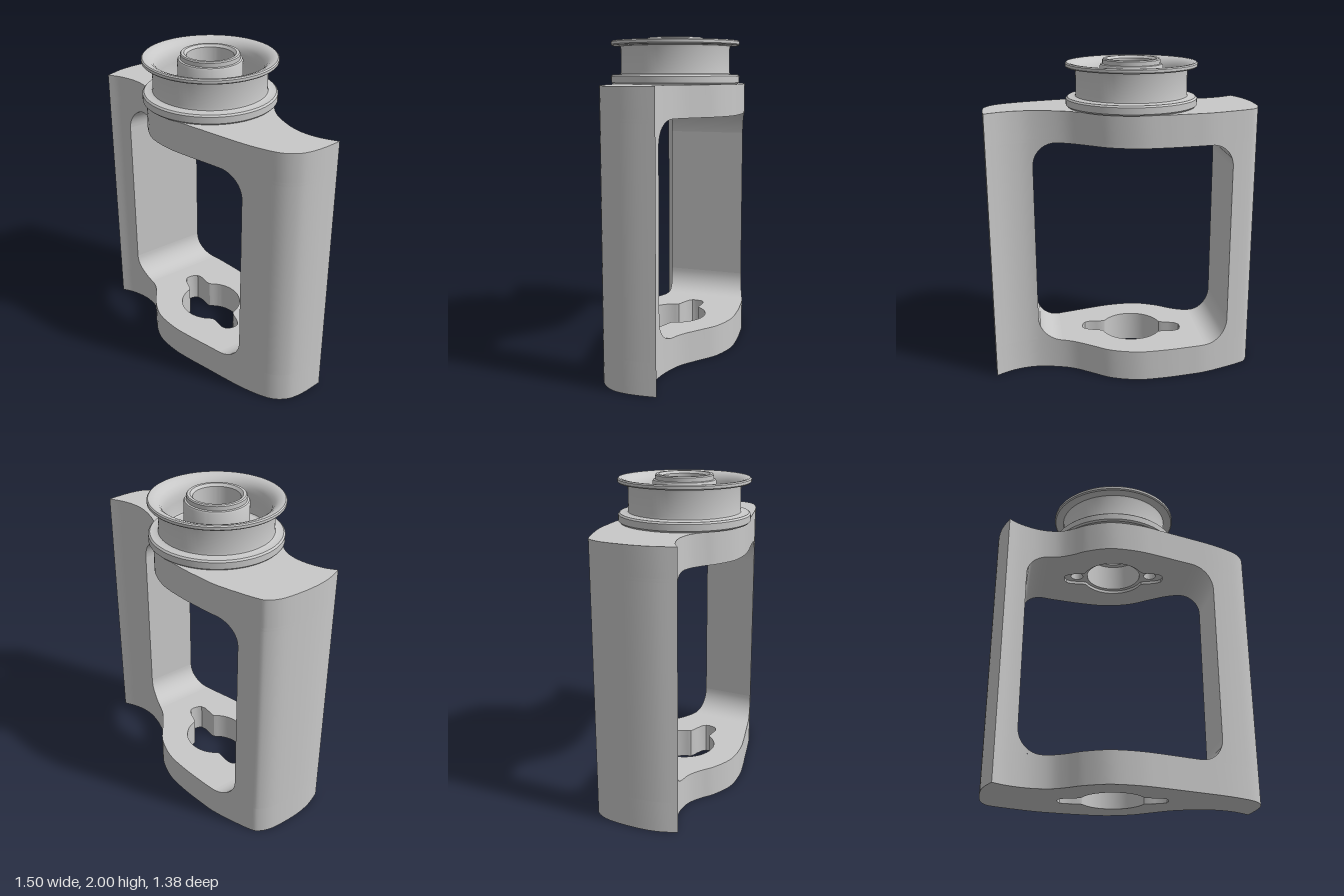
import * as THREE from 'three';
import { toCreasedNormals, mergeGeometries } from 'three/addons/utils/BufferGeometryUtils.js';

const CX = -0.03, CZ = -0.005;          // hub axis
const PIN = 0.245, PIN_ANGLE = 0.975;   // pin hole distance and direction
const LOW = 0.197, HIGH = 1.515, TOP = 1.71; // window bottom, window top, body top
const HALF = 0.607, SHIFT = -0.007, FILLET = 0.15; // window half width, offset and corner radius
const COS = Math.cos(0.803), SIN = Math.sin(0.803); // long axis of the body

// Footprint of the body as (x, z): two smooth sides meeting at two sharp tips
const spline = (p) => new THREE.SplineCurve(p.map(([x, z]) => new THREE.Vector2(x, z))).getPoints(72).slice(0, -1);
const outline = [
  ...spline([[-0.748, -0.308], [-0.695, -0.42], [-0.61, -0.53], [-0.48, -0.65], [-0.39, -0.69], [-0.33, -0.68],
    [-0.2, -0.62], [-0.08, -0.555], [0.02, -0.48], [0.13, -0.39], [0.25, -0.27], [0.33, -0.12], [0.355, 0.02],
    [0.38, 0.16], [0.43, 0.27], [0.5, 0.37], [0.57, 0.43], [0.65, 0.472], [0.748, 0.5]]),
  ...spline([[0.748, 0.5], [0.67, 0.59], [0.6, 0.652], [0.54, 0.682], [0.46, 0.69], [0.37, 0.665], [0.23, 0.6],
    [0, 0.465], [-0.11, 0.4], [-0.23, 0.32], [-0.35, 0.2], [-0.41, 0.06], [-0.427, -0.04], [-0.455, -0.13],
    [-0.51, -0.2], [-0.58, -0.252], [-0.67, -0.293], [-0.748, -0.308]]),
];
const along = (p) => p.x * COS + p.y * SIN;
const across = (p) => p.x * SIN - p.y * COS;

// Keep the part of the footprint beyond the window's side wall
function clip(side) {
  const d = (p) => side * (along(p) - SHIFT) - HALF;
  const out = [];
  outline.forEach((a, i) => {
    const b = outline[(i + 1) % outline.length];
    if (d(a) >= 0) out.push(a);
    if (d(a) * d(b) < 0) out.push(a.clone().lerp(b, d(a) / (d(a) - d(b))));
  });
  return out;
}

// Extent of the footprint across the long axis at position u along it
function span(u) {
  const hits = [];
  outline.forEach((a, i) => {
    const b = outline[(i + 1) % outline.length];
    const da = along(a) - u, db = along(b) - u;
    if (da * db <= 0 && da !== db) hits.push(across(a.clone().lerp(b, da / (da - db))));
  });
  return [Math.min(...hits), Math.max(...hits)];
}

// Closed loop from a radius rule
function loop(radius, x = CX, z = CZ, n = 96) {
  return Array.from({ length: n }, (_, i) => {
    const a = i / n * Math.PI * 2, r = radius(a);
    return new THREE.Vector2(x + r * Math.cos(a), z + r * Math.sin(a));
  });
}
const circle = (r) => loop(() => r);
const pins = () => [1, -1].map((s) =>
  loop(() => 0.04, CX + s * PIN * Math.cos(PIN_ANGLE), CZ + s * PIN * Math.sin(PIN_ANGLE), 28));
// Round opening with a lobe around each pin hole
const lobed = (r) => loop((a) => r + (0.33 - r) * Math.exp(-((Math.sin(a - PIN_ANGLE) / 0.27) ** 4)));

// Upright prism from a footprint with holes; holes wind opposite to the footprint
function slab(points, holes, y0, y1) {
  const flip = (pts) => pts.map((p) => new THREE.Vector2(p.x, -p.y));
  const shape = new THREE.Shape(flip(points));
  holes.forEach((h) => shape.holes.push(new THREE.Path(flip(h).reverse())));
  const g = new THREE.ExtrudeGeometry(shape, { depth: y1 - y0, bevelEnabled: false });
  return toCreasedNormals(g.rotateX(-Math.PI / 2).translate(0, y0, 0), 0.5);
}

// Concave fillet in one corner of the window, swept through the body
function cornerFillet(side, upper) {
  const pos = [], n = 12;
  const slice = (i) => {
    const a = i / n * Math.PI / 2, u = SHIFT + side * (HALF - FILLET + FILLET * Math.sin(a));
    const h = FILLET * (1 - Math.cos(a));
    const base = upper ? HIGH : LOW, y = upper ? HIGH - h : LOW + h;
    const [lo, hi] = span(u);
    const P = (v, yy) => [u * COS + v * SIN, yy, u * SIN - v * COS];
    return { bl: P(lo, base), bh: P(hi, base), tl: P(lo, y), th: P(hi, y) };
  };
  const flip = side * (upper ? -1 : 1) < 0;
  const quad = (a, b, c, d) => (flip ? [a, c, b, a, d, c] : [a, b, c, a, c, d]).forEach((p) => pos.push(...p));
  for (let i = 0; i < n; i++) {
    const s = slice(i), t = slice(i + 1);
    quad(s.tl, t.tl, t.th, s.th);
    quad(s.bh, s.th, t.th, t.bh);
    quad(s.bl, t.bl, t.tl, s.tl);
  }
  const g = new THREE.BufferGeometry();
  g.setAttribute('position', new THREE.Float32BufferAttribute(pos, 3));
  return toCreasedNormals(g, 0.5);
}

// Turned part on the hub axis
function turned(profile) {
  const g = new THREE.LatheGeometry(profile.map(([r, y]) => new THREE.Vector2(r, y)), 96);
  return toCreasedNormals(g.translate(CX, 0, CZ), 0.6);
}

export function createModel() {
  const model = new THREE.Group();
  const metal = new THREE.MeshStandardMaterial({ color: 0xc8c8c8 });
  metal.name = 'light grey metal';
  const add = (name, geometry) => {
    const mesh = new THREE.Mesh(geometry, metal);
    mesh.name = name;
    model.add(mesh);
  };

  // Lower plate with a lobed opening; upper plate with a shallow lobed recess, bore and pin holes
  add('lowerPlate', slab(outline, [lobed(0.2)], 0, LOW));
  add('upperPlateRecess', slab(outline, [lobed(0.2)], HIGH, HIGH + 0.02));
  add('upperPlate', slab(outline, [circle(0.175), ...pins()], HIGH + 0.02, TOP));

  // Side arms and the rounded window corners
  for (const side of [-1, 1]) {
    const name = side > 0 ? 'left' : 'right';
    add(name + 'Arm', slab(clip(side), [], LOW, HIGH));
    add(name + 'WindowFillets', mergeGeometries([cornerFillet(side, false), cornerFillet(side, true)]));
  }

  // Spool: floor with pin holes, flanged rim and central boss
  add('spoolFloor', slab(circle(0.33), [circle(0.14), ...pins()], TOP, 1.77));
  add('spoolRim', turned([[0.32, TOP], [0.397, TOP], [0.407, 1.72], [0.407, 1.76], [0.397, 1.77], [0.36, 1.77],
    [0.348, 1.775], [0.345, 1.79], [0.345, 1.93], [0.348, 1.945], [0.36, 1.95], [0.4, 1.95], [0.407, 1.957],
    [0.407, 1.973], [0.4, 1.98], [0.385, 1.979], [0.36, 1.97], [0.338, 1.953], [0.322, 1.93], [0.313, 1.9],
    [0.31, 1.86], [0.31, 1.79], [0.306, 1.776], [0.295, 1.77]]));
  add('spoolBoss', turned([[0.204, 1.77], [0.197, 1.776], [0.195, 1.79], [0.195, 1.955], [0.189, 1.965],
    [0.178, 1.968], [0.178, 1.993], [0.172, 2], [0.155, 2], [0.14, 1.985], [0.14, TOP]]));

  return model;
}
